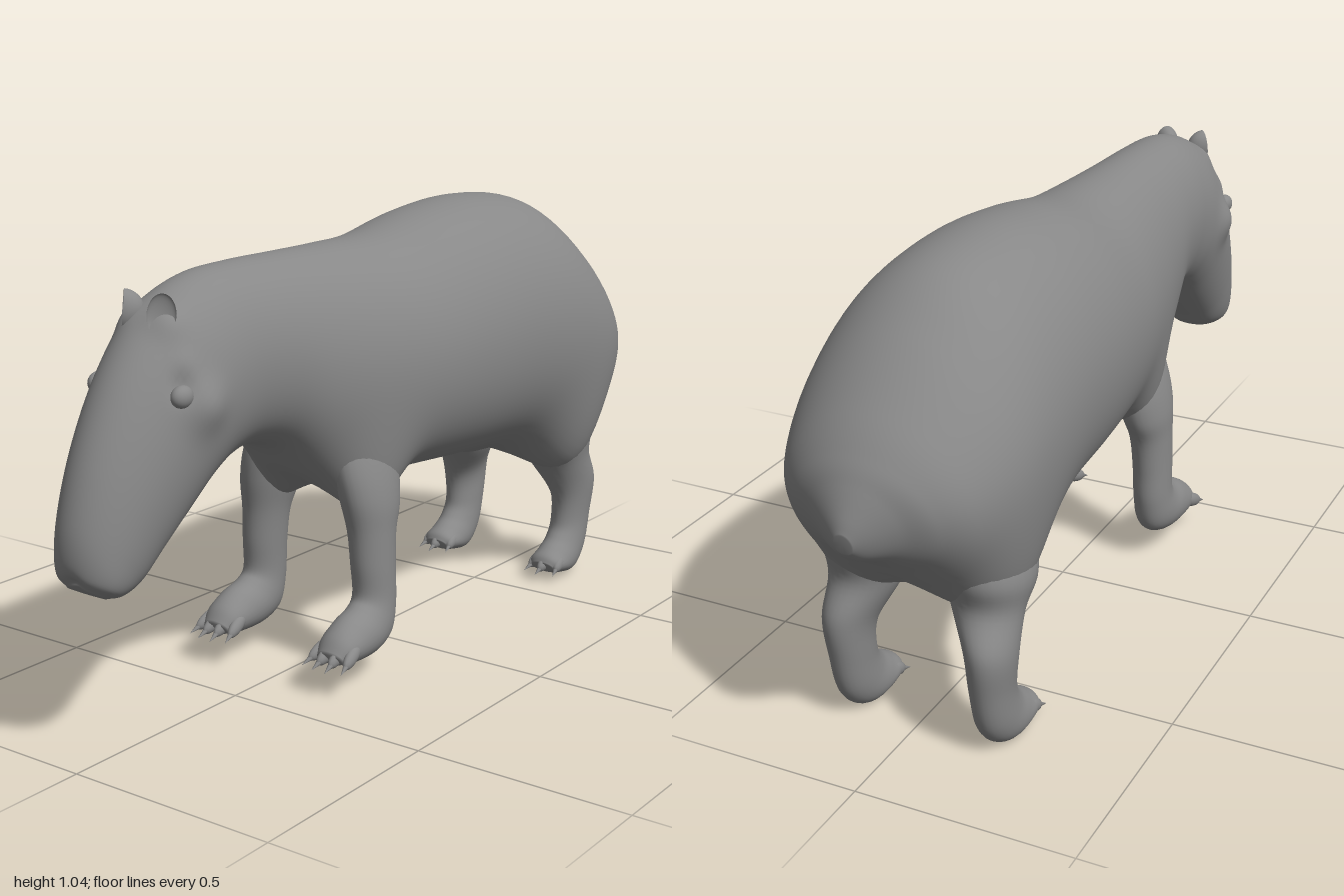
import * as THREE from 'three';

const material = new THREE.MeshStandardMaterial({ color: 0x888888 });

function addMesh(parent, name, geometry) {
  const mesh = new THREE.Mesh(geometry, material);
  mesh.name = name;
  parent.add(mesh);
  return mesh;
}

// Smooth skin through oval sections: [topZ, topY, bottomZ, bottomY, centreX, halfWidth].
// For legs, "top" is the front edge and "bottom" the rear edge.
// heavy widens the lower half; fullness below 1 squares it.
function loft(sections, steps, sides, heavy = 0, fullness = 1) {
  const curve = (f) => new THREE.CatmullRomCurve3(sections.map(f), false, 'catmullrom', 0.5);
  const tops = curve((s) => new THREE.Vector3(s[4], s[1], s[0]));
  const bottoms = curve((s) => new THREE.Vector3(s[5], s[3], s[2]));
  const positions = [], index = [];
  for (let i = 0; i <= steps; i++) {
    const t = tops.getPoint(i / steps), b = bottoms.getPoint(i / steps);
    for (let j = 0; j < sides; j++) {
      const a = (j / sides) * Math.PI * 2, c = Math.cos(a), s = Math.sin(a);
      const side = Math.sign(s) * Math.pow(Math.abs(s), c < 0 ? fullness : 1) * (1 - heavy * c);
      const m = (1 + c) / 2;
      positions.push(t.x + b.x * side, b.y + (t.y - b.y) * m, b.z + (t.z - b.z) * m);
      if (i < steps) {
        const k = (j + 1) % sides, p = i * sides, q = p + sides;
        index.push(p + j, q + j, q + k, p + j, q + k, p + k);
      }
    }
  }
  // Close both ends
  const startCap = positions.length / 3, last = steps * sides;
  for (const u of [0, 1]) {
    const t = tops.getPoint(u), b = bottoms.getPoint(u);
    positions.push(t.x, (t.y + b.y) / 2, (t.z + b.z) / 2);
  }
  for (let j = 0; j < sides; j++) {
    const k = (j + 1) % sides;
    index.push(startCap, j, k, startCap + 1, last + k, last + j);
  }
  const g = new THREE.BufferGeometry();
  g.setAttribute('position', new THREE.Float32BufferAttribute(positions, 3));
  g.setIndex(index);
  g.computeVertexNormals();
  return g;
}

// Soft shaping of both flanks: [x, y, z, radius, push along the normal, pull downwards]
function sculpt(geometry, bumps) {
  const p = geometry.attributes.position, n = geometry.attributes.normal;
  const v = new THREE.Vector3(), normal = new THREE.Vector3();
  for (let i = 0; i < p.count; i++) {
    v.fromBufferAttribute(p, i);
    normal.fromBufferAttribute(n, i);
    let push = 0, pull = 0;
    for (const [x, y, z, r, out, down] of bumps) {
      const d2 = (Math.abs(v.x) - x) ** 2 + (v.y - y) ** 2 + (v.z - z) ** 2;
      const w = Math.exp(-d2 / (r * r));
      push += out * w;
      pull += down * w;
    }
    v.addScaledVector(normal, push);
    p.setXYZ(i, v.x, v.y - pull, v.z);
  }
  geometry.computeVertexNormals();
  return geometry;
}

// Slim toes with pointed claws, fanned across the foot
function addToes(parent, name, x, y, z, count, spread, length) {
  for (let i = 0; i < count; i++) {
    const f = (i / (count - 1)) * 2 - 1;
    const toe = new THREE.Group();
    toe.name = name;
    toe.position.set(x + f * spread, y, z - Math.abs(f) * 0.018);
    toe.rotation.set(0.4, f * 0.2, 0, 'YXZ');
    const pad = addMesh(toe, 'toePad', new THREE.SphereGeometry(1, 14, 10));
    pad.scale.set(0.014, 0.018, length);
    const claw = addMesh(toe, 'claw', new THREE.ConeGeometry(0.008, 0.034, 8));
    claw.rotation.x = Math.PI / 2;
    claw.position.set(0, 0, length + 0.005);
    parent.add(toe);
  }
}

export function createModel() {
  const model = new THREE.Group();
  model.name = 'animal';

  // Tail stub, rump, barrel, neck and head in one skin
  const skin = loft([
    [-1.0, 0.595, -0.99, 0.55, 0, 0.02],
    [-0.99, 0.63, -0.965, 0.525, 0, 0.05],
    [-0.967, 0.685, -0.925, 0.505, 0, 0.105],
    [-0.94, 0.735, -0.885, 0.475, 0, 0.168],
    [-0.88, 0.81, -0.82, 0.42, 0, 0.225],
    [-0.75, 0.93, -0.73, 0.365, 0, 0.265],
    [-0.60, 1.02, -0.60, 0.355, 0, 0.277],
    [-0.40, 1.045, -0.40, 0.395, 0, 0.273],
    [-0.20, 1.03, -0.20, 0.41, 0, 0.262],
    [0.00, 0.995, 0.00, 0.425, 0, 0.237],
    [0.17, 0.99, 0.17, 0.435, 0, 0.205],
    [0.33, 0.99, 0.30, 0.48, 0, 0.175],
    [0.48, 0.99, 0.41, 0.565, 0, 0.152],
    [0.61, 0.982, 0.50, 0.59, 0, 0.143],
    [0.72, 0.945, 0.575, 0.58, 0, 0.141],
    [0.80, 0.88, 0.64, 0.545, 0, 0.135],
    [0.88, 0.78, 0.71, 0.485, 0, 0.122],
    [0.95, 0.65, 0.78, 0.425, 0, 0.107],
    [0.993, 0.52, 0.84, 0.375, 0, 0.092],
    [0.998, 0.43, 0.89, 0.36, 0, 0.076],
    [0.98, 0.392, 0.925, 0.36, 0, 0.045],
  ], 190, 80, 0.06, 0.82);
  addMesh(model, 'body', sculpt(skin, [
    [0.135, 0.735, 0.725, 0.05, 0.02, 0],   // cheeks
    [0.125, 0.83, 0.765, 0.03, 0.008, 0],   // brows
    [0.125, 0.785, 0.78, 0.024, -0.015, 0], // eye hollows
    [0.055, 0.90, 0.75, 0.035, 0.01, 0],    // ear roots
    [0.155, 0.48, 0.18, 0.1, 0.012, 0.10],  // shoulders, drawn down into the legs
    [0.17, 0.42, -0.665, 0.125, 0.018, 0.085], // haunches, drawn down into the thighs
    [0, 0.405, 0.985, 0.022, -0.01, 0],     // mouth
  ]));

  for (const s of [1, -1]) {
    const side = s > 0 ? 'left' : 'right';

    // Front leg, rooted in the shoulder and bending forward into the foot
    addMesh(model, side + 'FrontLeg', loft([
      [0.27, 0.62, 0.09, 0.61, s * 0.105, 0.04],
      [0.28, 0.51, 0.08, 0.49, s * 0.13, 0.056],
      [0.273, 0.43, 0.095, 0.40, s * 0.146, 0.058],
      [0.257, 0.35, 0.122, 0.335, s * 0.155, 0.051],
      [0.252, 0.27, 0.130, 0.25, s * 0.16, 0.048],
      [0.248, 0.20, 0.132, 0.165, s * 0.163, 0.047],
      [0.270, 0.178, 0.155, 0.09, s * 0.165, 0.051],
      [0.315, 0.162, 0.22, 0.06, s * 0.167, 0.054],
      [0.355, 0.135, 0.31, 0.06, s * 0.168, 0.05],
      [0.380, 0.10, 0.36, 0.07, s * 0.168, 0.034],
    ], 54, 28));
    addToes(model, side + 'FrontToe', s * 0.168, 0.095, 0.357, 4, 0.042, 0.046);

    // Hind leg: thigh, hock and foot, with the right one set a little wider
    const x = s > 0 ? 0.155 : -0.187;
    const wide = s > 0 ? 0 : -0.022;
    addMesh(model, side + 'HindLeg', loft([
      [-0.56, 0.60, -0.78, 0.62, s * 0.12, 0.05],
      [-0.53, 0.48, -0.81, 0.51, s * 0.135, 0.08],
      [-0.55, 0.375, -0.805, 0.42, s * 0.135 + wide, 0.09],
      [-0.62, 0.30, -0.785, 0.345, s * 0.138 + wide, 0.077],
      [-0.67, 0.215, -0.818, 0.26, x, 0.054],
      [-0.672, 0.14, -0.807, 0.16, x, 0.046],
      [-0.65, 0.105, -0.78, 0.06, x, 0.047],
      [-0.62, 0.085, -0.72, 0.004, x, 0.05],
      [-0.595, 0.068, -0.64, 0.01, x, 0.047],
      [-0.585, 0.05, -0.605, 0.022, x, 0.032],
    ], 54, 28));
    addToes(model, side + 'HindToe', x, 0.046, -0.608, 3, 0.033, 0.036);

    // Ear: sphere with its front pushed in to form a shallow cup
    const cup = new THREE.SphereGeometry(1, 24, 18);
    const p = cup.attributes.position;
    for (let i = 0; i < p.count; i++) if (p.getZ(i) > 0) p.setZ(i, p.getZ(i) * -0.25);
    cup.computeVertexNormals();
    const ear = addMesh(model, side + 'Ear', cup);
    ear.position.set(s * 0.053, 0.918, 0.765);
    ear.rotation.set(-0.1, s * 0.8, s * -0.1, 'YXZ');
    ear.scale.set(0.03, 0.044, 0.045);

    // Lidded eye, sunk under its hollow
    const eye = addMesh(model, side + 'Eye', new THREE.SphereGeometry(1, 20, 14));
    eye.position.set(s * 0.114, 0.762, 0.778);
    eye.scale.set(0.02, 0.024, 0.028);
  }
  return model;
}
